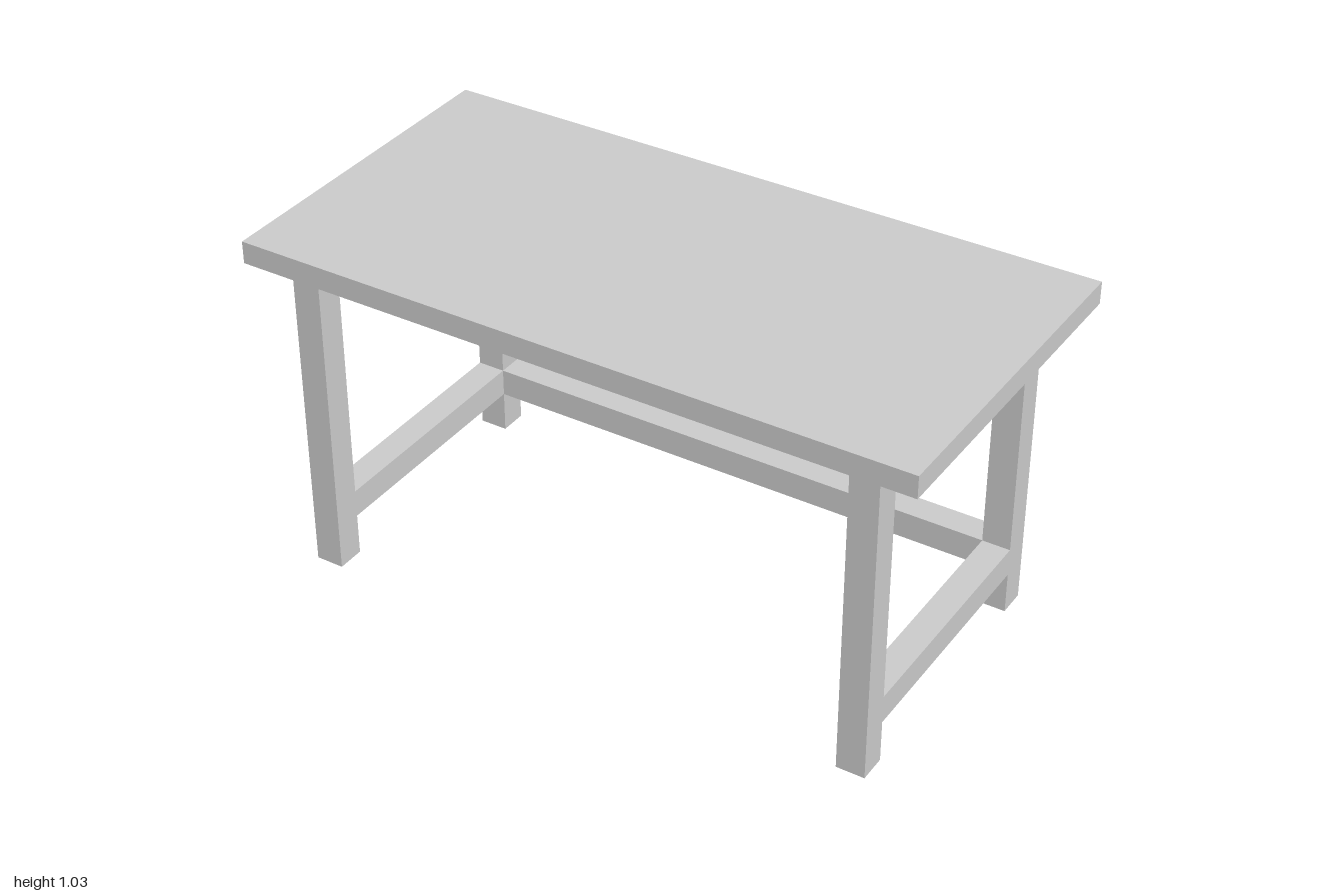
import * as THREE from 'three';

export function createModel() {
  const group = new THREE.Group();
  const material = new THREE.MeshStandardMaterial({ color: 0xcccccc, flatShading: true });

  // Box given by its minimum and maximum corners
  function box(name, [x0, y0, z0], [x1, y1, z1]) {
    const mesh = new THREE.Mesh(new THREE.BoxGeometry(x1 - x0, y1 - y0, z1 - z0), material);
    mesh.position.set((x0 + x1) / 2, (y0 + y1) / 2, (z0 + z1) / 2);
    mesh.name = name;
    group.add(mesh);
  }

  const t = 0.084; // thickness of legs and rails
  const topBottom = 0.969, topHeight = 1.035;
  const railLow = 0.127, railHigh = railLow + t;
  const rightX = -0.889, leftX = 0.788; // low-x edge of each leg pair
  const backZ = -0.449, frontZ = 0.36; // low-z edge of each leg pair

  box('tableTop', [-1, topBottom, -0.505], [1, topHeight, 0.505]);

  // Two legs per side, joined by a flush side rail
  for (const [side, x] of [['Right', rightX], ['Left', leftX]]) {
    box('front' + side + 'Leg', [x, 0, frontZ], [x + t, topBottom, frontZ + t]);
    box('back' + side + 'Leg', [x, 0, backZ], [x + t, topBottom, backZ + t]);
    box('side' + side + 'Rail', [x, railLow, backZ + t], [x + t, railHigh, frontZ]);
  }

  // Long rail between the back legs
  box('backRail', [rightX + t, railLow, backZ], [leftX, railHigh, backZ + t]);

  return group;
}
